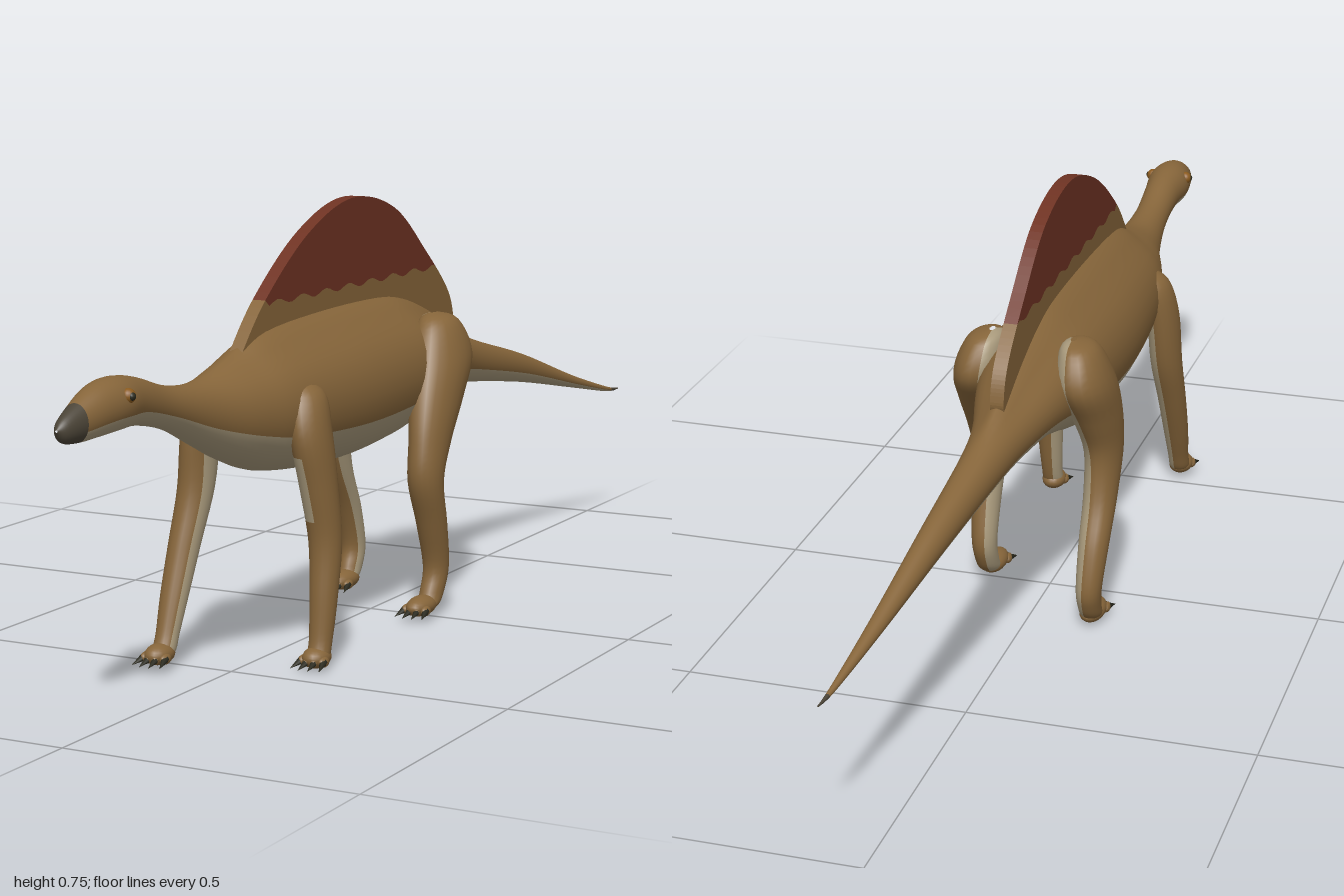
import * as THREE from 'three';

const mat = (name, color) => {
  const m = new THREE.MeshStandardMaterial({ color });
  m.name = name;
  return m;
};

// Smoothly resample a short table of cross-sections.
function resample(rows, steps) {
  const out = [];
  for (let i = 0; i < rows.length - 1; i++) {
    const a = rows[Math.max(i - 1, 0)], b = rows[i], c = rows[i + 1];
    const d = rows[Math.min(i + 2, rows.length - 1)];
    for (let s = 0; s < steps; s++) {
      const t = s / steps;
      out.push(b.map((v, k) => v + 0.5 * t * (c[k] - a[k] +
        t * (2 * a[k] - 5 * v + 4 * c[k] - d[k] + t * (3 * (v - c[k]) + d[k] - a[k])))));
    }
  }
  out.push(rows[rows.length - 1]);
  return out;
}

// Skin rings together; pick(row, angle) chooses the material of each face.
function loft(name, rows, sides, point, pick, materials) {
  const pos = [], faces = materials.map(() => []);
  rows.forEach((row, i) => {
    for (let j = 0; j < sides; j++) {
      pos.push(...point(row, (j / sides) * Math.PI * 2));
      if (i === rows.length - 1) continue;
      const k = (j + 1) % sides, p = i * sides, q = p + sides;
      faces[pick(row, ((j + 0.5) / sides) * Math.PI * 2)]
        .push(p + j, q + j, p + k, p + k, q + j, q + k);
    }
  });
  const g = new THREE.BufferGeometry();
  g.setAttribute('position', new THREE.Float32BufferAttribute(pos, 3));
  g.setIndex(faces.flat());
  let start = 0;
  faces.forEach((f, m) => { g.addGroup(start, f.length, m); start += f.length; });
  g.computeVertexNormals();
  const mesh = new THREE.Mesh(g, materials);
  mesh.name = name;
  return mesh;
}

export function createModel() {
  const root = new THREE.Group();
  root.name = 'sailBackedReptile';
  const hide = mat('brown hide', 0x86653a);
  const pale = mat('pale belly', 0xa99a7c);
  const red = mat('red sail', 0x6f3323);
  const dark = mat('dark claw', 0x2b2a1e);
  const beak = mat('grey beak', 0x4b4437);
  const amber = mat('amber eye', 0x8a5a1e);

  const add = (name, geo, material, parent, x, y, z) => {
    const m = new THREE.Mesh(geo, material);
    m.name = name;
    m.position.set(x, y, z);
    parent.add(m);
    return m;
  };

  // Body from snout to tail tip: z, top, bottom, half width, centre x, ridge
  const body = resample([
    [1.0, 0.482, 0.478, 0.002, 0, 0],
    [0.985, 0.497, 0.46, 0.014, 0, 0],
    [0.95, 0.515, 0.455, 0.024, 0, 0],
    [0.9, 0.536, 0.456, 0.035, 0, 0],
    [0.85, 0.542, 0.458, 0.041, 0, 0],
    [0.79, 0.533, 0.457, 0.034, 0, 0],
    [0.7, 0.507, 0.436, 0.033, 0, 0],
    [0.6, 0.5, 0.392, 0.047, 0, 0],
    [0.5, 0.515, 0.35, 0.078, 0, 0.01],
    [0.4, 0.535, 0.322, 0.1, 0, 0.025],
    [0.2, 0.547, 0.307, 0.114, 0, 0.025],
    [0.0, 0.547, 0.318, 0.11, 0, 0.025],
    [-0.1, 0.535, 0.345, 0.098, 0, 0.025],
    [-0.2, 0.505, 0.37, 0.076, 0, 0.025],
    [-0.3, 0.472, 0.37, 0.05, 0, 0.015],
    [-0.4, 0.445, 0.362, 0.037, 0.004, 0],
    [-0.6, 0.392, 0.335, 0.025, 0.02, 0],
    [-0.8, 0.324, 0.298, 0.014, 0.042, 0],
    [-0.95, 0.28, 0.27, 0.005, 0.06, 0],
    [-1.0, 0.271, 0.269, 0.001, 0.066, 0],
  ], 5);
  root.add(loft('body', body, 32,
    ([z, top, bottom, w, cx, ridge], a) => [
      cx + w * Math.cos(a),
      (top + bottom) / 2 + (top - bottom) / 2 * Math.sin(a) + ridge * Math.max(0, Math.sin(a)) ** 14,
      z],
    ([z], a) => (z > 0.955 || z < -0.965 ? 2 : Math.sin(a) < -0.34 ? 1 : 0),
    [hide, pale, beak]));

  // Sail: brown lower band and red upper fan, meeting at a wavy border
  const arc = new THREE.SplineCurve([
    [0.49, 0.515], [0.4, 0.607], [0.25, 0.705], [0.09, 0.752], [-0.07, 0.722],
    [-0.2, 0.63], [-0.29, 0.55], [-0.315, 0.49], [-0.305, 0.46],
  ].map(([z, y]) => new THREE.Vector2(z, y))).getPoints(72);
  const fan = arc.filter((p) => p.y >= 0.6);
  const first = fan[0], last = fan[fan.length - 1];
  const wave = [];
  for (let i = 1; i < 48; i++) {
    const z = first.x + (last.x - first.x) * i / 48;
    wave.push(new THREE.Vector2(z, 0.6 + 0.005 * Math.sin(z * 75)));
  }
  const band = [
    ...arc.filter((p) => p.y < 0.6 && p.x > 0), first, ...wave, last,
    ...arc.filter((p) => p.y < 0.6 && p.x < 0),
    new THREE.Vector2(-0.2, 0.46), new THREE.Vector2(0.4, 0.5),
  ];
  const plate = (name, points, material) => {
    const g = new THREE.ExtrudeGeometry(new THREE.Shape(points), { depth: 0.024, bevelEnabled: false });
    g.translate(0, 0, -0.012);
    g.rotateY(-Math.PI / 2);
    add(name, g, material, root, 0, 0, 0);
  };
  plate('sailFan', [...fan, ...[...wave].reverse()], red);
  plate('sailBase', band, hide);

  // Eyes
  for (const s of [1, -1]) {
    const eye = new THREE.Group();
    eye.name = s > 0 ? 'leftEye' : 'rightEye';
    add('iris', new THREE.SphereGeometry(0.012, 16, 12), amber, eye, s * 0.034, 0.515, 0.857);
    add('pupil', new THREE.SphereGeometry(0.007, 12, 8), dark, eye, s * 0.041, 0.515, 0.859);
    root.add(eye);
  }

  // Legs: rows of x, y, z, half width, half depth from the top down
  const leg = (name, side, rows, patch, foot) => {
    const group = new THREE.Group();
    group.name = name;
    group.add(loft('limb', resample(rows, 5), 20,
      ([x, y, z, rx, rz], a) => [side * x + rx * Math.cos(a), y, z - rz * Math.sin(a)],
      ([, y], a) => {
        const inner = -side * Math.cos(a);
        if (patch && y > 0.25 && y < 0.37) return inner > -0.1 ? 1 : 0;
        return inner + 0.3 * Math.sin(a) > 0.7 ? 1 : 0;
      }, [hide, pale]));
    // Foot with four clawed toes
    const [fx, fz, fy, length] = foot;
    const pad = add('foot', new THREE.SphereGeometry(1, 20, 14), hide, group, side * fx, fy, fz);
    pad.scale.set(0.023, 0.018, length);
    for (let i = 0; i < 4; i++) {
      const dx = (i - 1.5) * 0.0125, dz = fz + length * 0.85 - Math.abs(i - 1.5) * 0.006;
      const toe = add('toe', new THREE.SphereGeometry(1, 10, 8), hide, group, side * fx + dx, fy - 0.004, dz - 0.006);
      toe.scale.set(0.008, 0.009, 0.014);
      const claw = add('claw', new THREE.ConeGeometry(0.007, 0.032, 8), dark, group, side * fx + dx * 1.25, fy - 0.008, dz + 0.012);
      claw.rotation.set(Math.PI / 2 + 0.3, 0, -dx * 12);
    }
    root.add(group);
  };

  leg('leftFrontLeg', 1, [
    [0.07, 0.48, 0.39, 0.005, 0.01], [0.082, 0.455, 0.39, 0.03, 0.04],
    [0.097, 0.39, 0.4, 0.032, 0.046], [0.106, 0.3, 0.39, 0.031, 0.036],
    [0.112, 0.21, 0.38, 0.028, 0.029], [0.114, 0.12, 0.39, 0.024, 0.024],
    [0.114, 0.05, 0.4, 0.02, 0.02], [0.114, 0.018, 0.41, 0.018, 0.018], [0.114, 0.012, 0.41, 0.001, 0.001],
  ], true, [0.113, 0.413, 0.02, 0.03]);
  leg('rightFrontLeg', -1, [
    [0.07, 0.48, 0.41, 0.005, 0.01], [0.082, 0.455, 0.41, 0.03, 0.04],
    [0.1, 0.39, 0.42, 0.03, 0.045], [0.106, 0.29, 0.43, 0.03, 0.036],
    [0.111, 0.2, 0.46, 0.027, 0.03], [0.113, 0.12, 0.49, 0.024, 0.025],
    [0.113, 0.06, 0.513, 0.02, 0.021], [0.113, 0.026, 0.528, 0.018, 0.02], [0.113, 0.02, 0.53, 0.001, 0.001],
  ], false, [0.113, 0.54, 0.028, 0.032]);
  leg('leftHindLeg', 1, [
    [0.075, 0.535, -0.1, 0.005, 0.01], [0.085, 0.52, -0.1, 0.033, 0.05],
    [0.096, 0.46, -0.09, 0.048, 0.082], [0.108, 0.39, -0.045, 0.042, 0.072],
    [0.116, 0.32, -0.005, 0.034, 0.053], [0.118, 0.25, 0.016, 0.031, 0.037],
    [0.118, 0.17, -0.008, 0.027, 0.031], [0.116, 0.09, -0.03, 0.023, 0.026],
    [0.115, 0.045, -0.017, 0.021, 0.026], [0.115, 0.022, 0.0, 0.018, 0.022], [0.115, 0.016, 0.0, 0.001, 0.001],
  ], false, [0.113, 0.022, 0.025, 0.042]);
  leg('rightHindLeg', -1, [
    [0.075, 0.535, -0.11, 0.005, 0.01], [0.085, 0.52, -0.11, 0.033, 0.05],
    [0.096, 0.46, -0.105, 0.048, 0.08], [0.108, 0.39, -0.075, 0.042, 0.072],
    [0.116, 0.32, -0.06, 0.034, 0.055], [0.118, 0.24, -0.085, 0.03, 0.039],
    [0.118, 0.16, -0.128, 0.027, 0.031], [0.116, 0.085, -0.152, 0.023, 0.026],
    [0.115, 0.045, -0.143, 0.021, 0.026], [0.115, 0.022, -0.13, 0.018, 0.022], [0.115, 0.014, -0.13, 0.001, 0.001],
  ], false, [0.113, -0.112, 0.022, 0.042]);

  return root;
}
